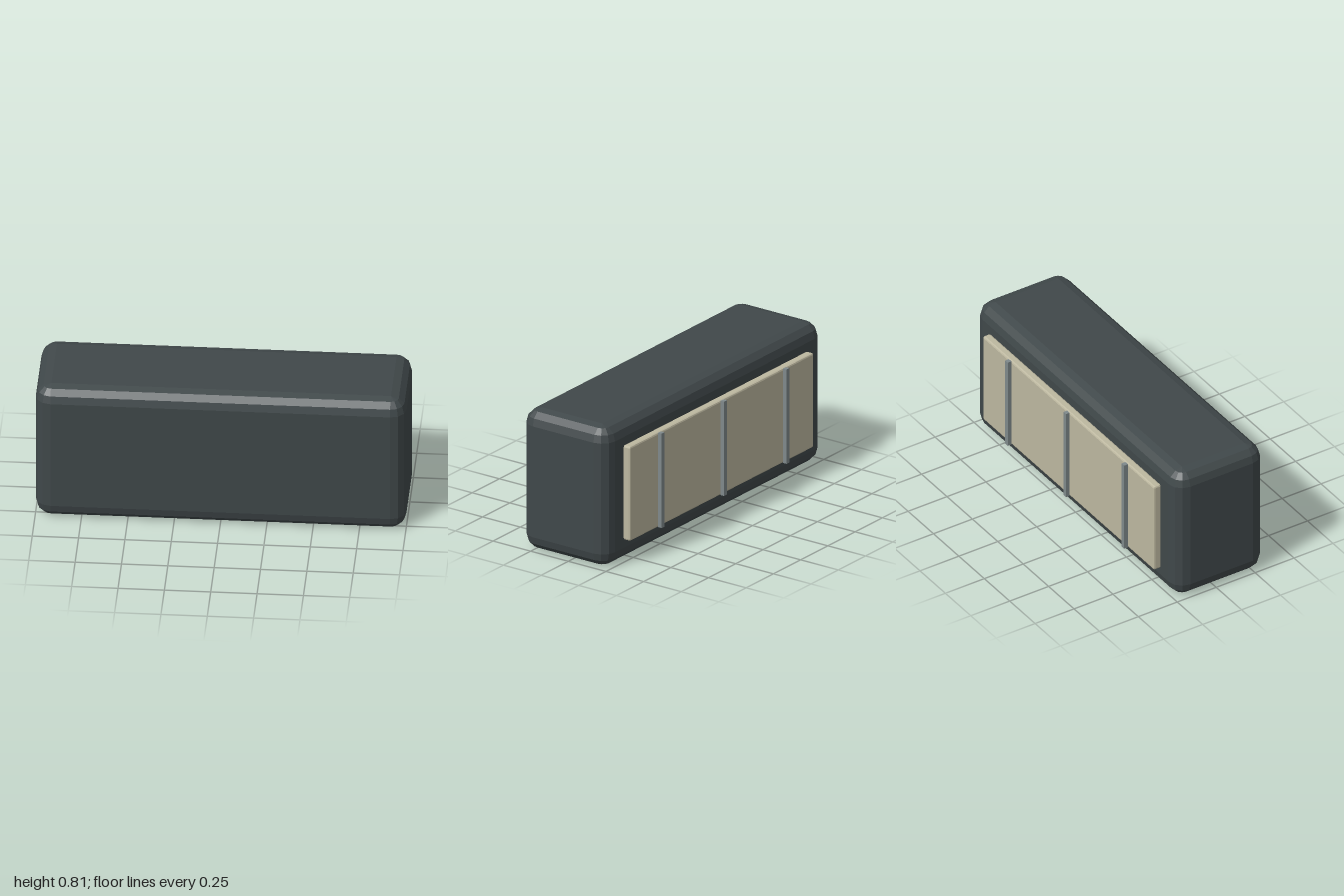
import * as THREE from 'three';
import { ConvexGeometry } from 'three/addons/geometries/ConvexGeometry.js';

// Box with faceted, rounded edges: one sphere octant of points at each corner
function bevelledBox(w, h, d, r, segments) {
  const points = [];
  for (const sx of [-1, 1]) for (const sy of [-1, 1]) for (const sz of [-1, 1]) {
    for (let i = 0; i <= segments; i++) {
      const lat = (i / segments) * Math.PI / 2;
      const steps = i === segments ? 0 : segments;
      for (let j = 0; j <= steps; j++) {
        const lon = steps ? (j / steps) * Math.PI / 2 : 0;
        points.push(new THREE.Vector3(
          sx * (w / 2 - r + r * Math.cos(lat) * Math.cos(lon)),
          sy * (h / 2 - r + r * Math.sin(lat)),
          sz * (d / 2 - r + r * Math.cos(lat) * Math.sin(lon))));
      }
    }
  }
  return new ConvexGeometry(points);
}

export function createModel() {
  const group = new THREE.Group();
  const material = (color) => new THREE.MeshStandardMaterial({ color, flatShading: true });
  const add = (name, geometry, mat, x, y, z) => {
    const mesh = new THREE.Mesh(geometry, mat);
    mesh.name = name;
    mesh.position.set(x, y, z);
    group.add(mesh);
  };

  // Dark rounded block
  add('body', bevelledBox(2, 0.81, 0.57, 0.084, 3), material(0x40484a), 0, 0.405, 0.035);

  // Pale panel on the back
  add('backPanel', bevelledBox(1.686, 0.547, 0.048, 0.01, 2), material(0xbdb8a0), 0, 0.4065, -0.273);

  // Three upright bars across the panel
  const barMaterial = material(0x7f898b);
  for (const x of [-0.573, 0, 0.573]) {
    add('panelBar', new THREE.BoxGeometry(0.025, 0.547, 0.024), barMaterial, x, 0.4065, -0.308);
  }
  return group;
}
